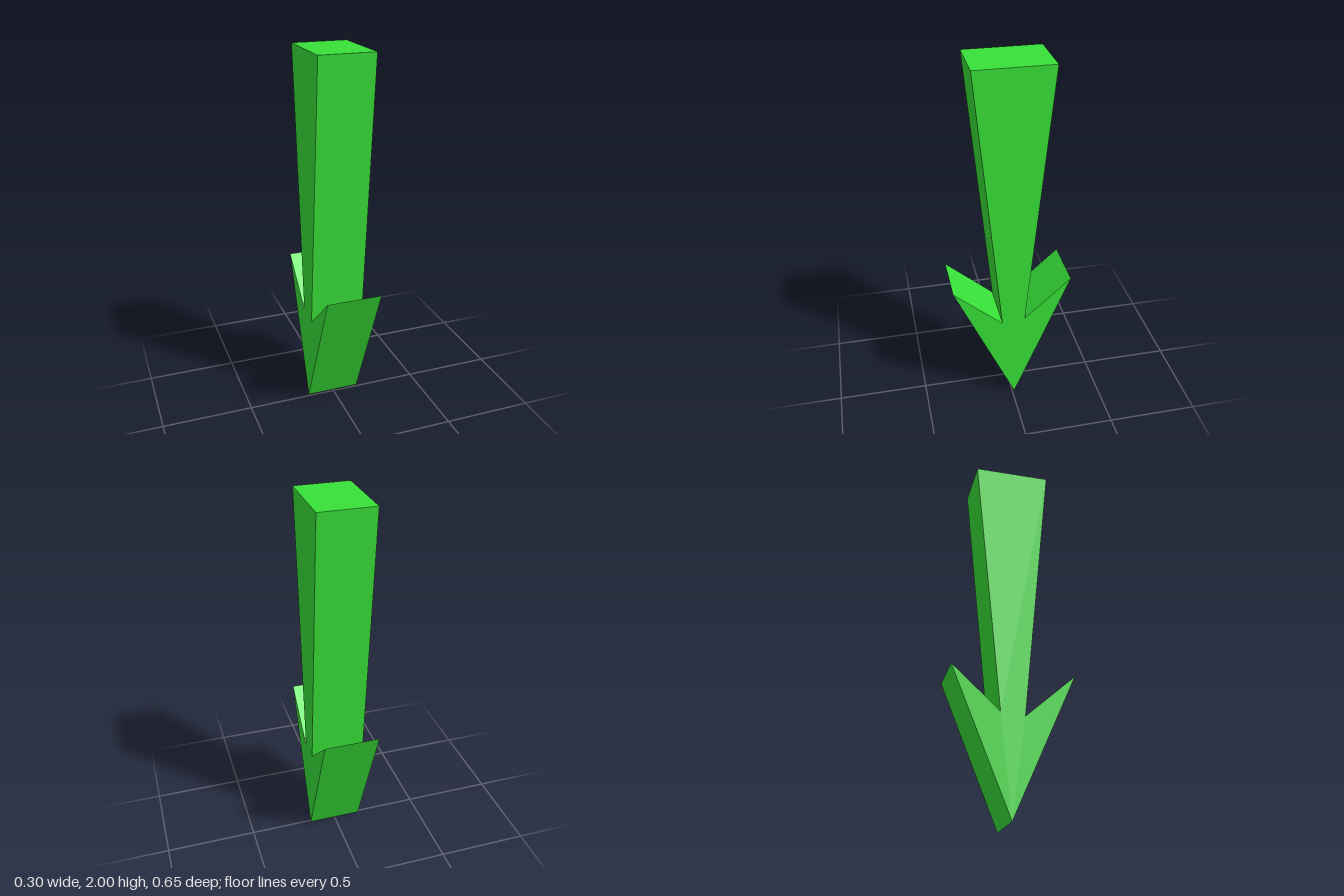
import * as THREE from 'three';

// Downward arrow: a tapered shaft and barbed head cut from one flat slab
export function createModel() {
  const group = new THREE.Group();
  group.name = 'downArrow';
  const width = 0.3;

  // Side outline as [z, y]
  const outline = [
    [-0.012, 0], [-0.327, 0.775], [-0.07, 0.54], [-0.212, 2],
    [0.2, 2], [0.058, 0.525], [0.327, 0.765],
  ];
  const shape = new THREE.Shape(outline.map(([z, y]) => new THREE.Vector2(-z, y)));
  const geometry = new THREE.ExtrudeGeometry(shape, { depth: width, bevelEnabled: false });
  // Centre the thickness, then turn the outline into the z-y plane
  geometry.translate(0, 0, -width / 2).rotateY(Math.PI / 2);

  const arrow = new THREE.Mesh(
    geometry,
    new THREE.MeshStandardMaterial({ color: 0x38e038, flatShading: true }),
  );
  arrow.name = 'arrow';
  group.add(arrow);
  return group;
}
